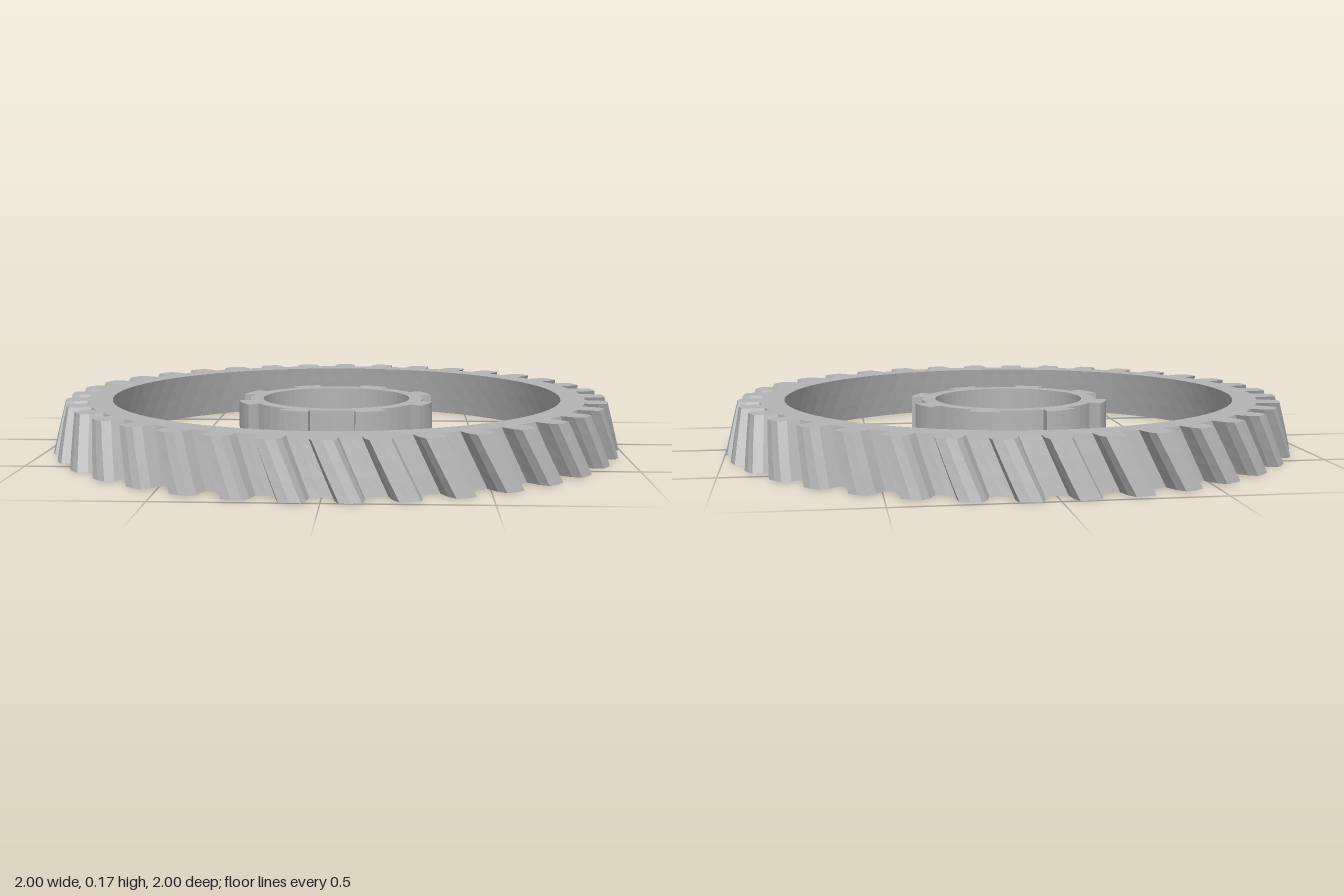
import * as THREE from 'three';

const rad = THREE.MathUtils.degToRad;

// Toothed ring standing on y = 0. `profile` is one tooth as [radius, degrees from the tooth centre].
// The top is scaled by `taper` and turned by `twist` degrees.
function toothedRing({ name, teeth, profile, hole, height, taper = 1, twist = 0, steps = 1, holeSegments }, material) {
  const pitch = 360 / teeth;
  const points = [];
  for (let i = 0; i < teeth; i++) {
    for (const [r, offset] of profile) {
      const a = rad((i + 0.5) * pitch + offset);
      points.push(new THREE.Vector2(r * Math.cos(a), r * Math.sin(a)));
    }
  }
  const shape = new THREE.Shape(points);
  const bore = [];
  for (let i = 0; i < holeSegments; i++) {
    const a = (-i / holeSegments) * Math.PI * 2;
    bore.push(new THREE.Vector2(hole * Math.cos(a), hole * Math.sin(a)));
  }
  shape.holes.push(new THREE.Path(bore));

  const geometry = new THREE.ExtrudeGeometry(shape, { depth: height, steps, bevelEnabled: false });
  geometry.rotateX(-Math.PI / 2);

  // Taper and slant the teeth with height
  const pos = geometry.attributes.position;
  for (let i = 0; i < pos.count; i++) {
    const t = pos.getY(i) / height;
    const s = 1 + (taper - 1) * t;
    const c = Math.cos(rad(twist) * t) * s;
    const n = Math.sin(rad(twist) * t) * s;
    const x = pos.getX(i), z = pos.getZ(i);
    pos.setX(i, x * c - z * n);
    pos.setZ(i, x * n + z * c);
  }
  geometry.computeVertexNormals();

  const mesh = new THREE.Mesh(geometry, material);
  mesh.name = name;
  return mesh;
}

export function createModel() {
  const group = new THREE.Group();
  group.name = 'gearSet';
  const steel = new THREE.MeshStandardMaterial({ color: 0xb4b4b4, flatShading: true });
  steel.name = 'steel grey';

  // Outer bevelled ring with slanted teeth
  group.add(toothedRing({
    name: 'slantedRingGear',
    teeth: 36,
    profile: [[0.922, -2.8], [0.97, -2.6], [1.0, -1.9], [1.003, 0], [1.0, 1.9], [0.97, 2.6], [0.922, 2.8], [0.922, 5]],
    hole: 0.834,
    height: 0.175,
    taper: 0.956,
    twist: 4.7,
    steps: 3,
    holeSegments: 72,
  }, steel));

  // Small inner ring with broad straight teeth
  group.add(toothedRing({
    name: 'innerSplineRing',
    teeth: 8,
    profile: [[0.31, -8.5], [0.352, -9.5], [0.354, -4.7], [0.354, 0], [0.354, 4.7], [0.352, 9.5],
      [0.31, 8.5], [0.31, 15.5], [0.31, 22.5], [0.31, 29.5]],
    hole: 0.263,
    height: 0.163,
    holeSegments: 64,
  }, steel));

  return group;
}
